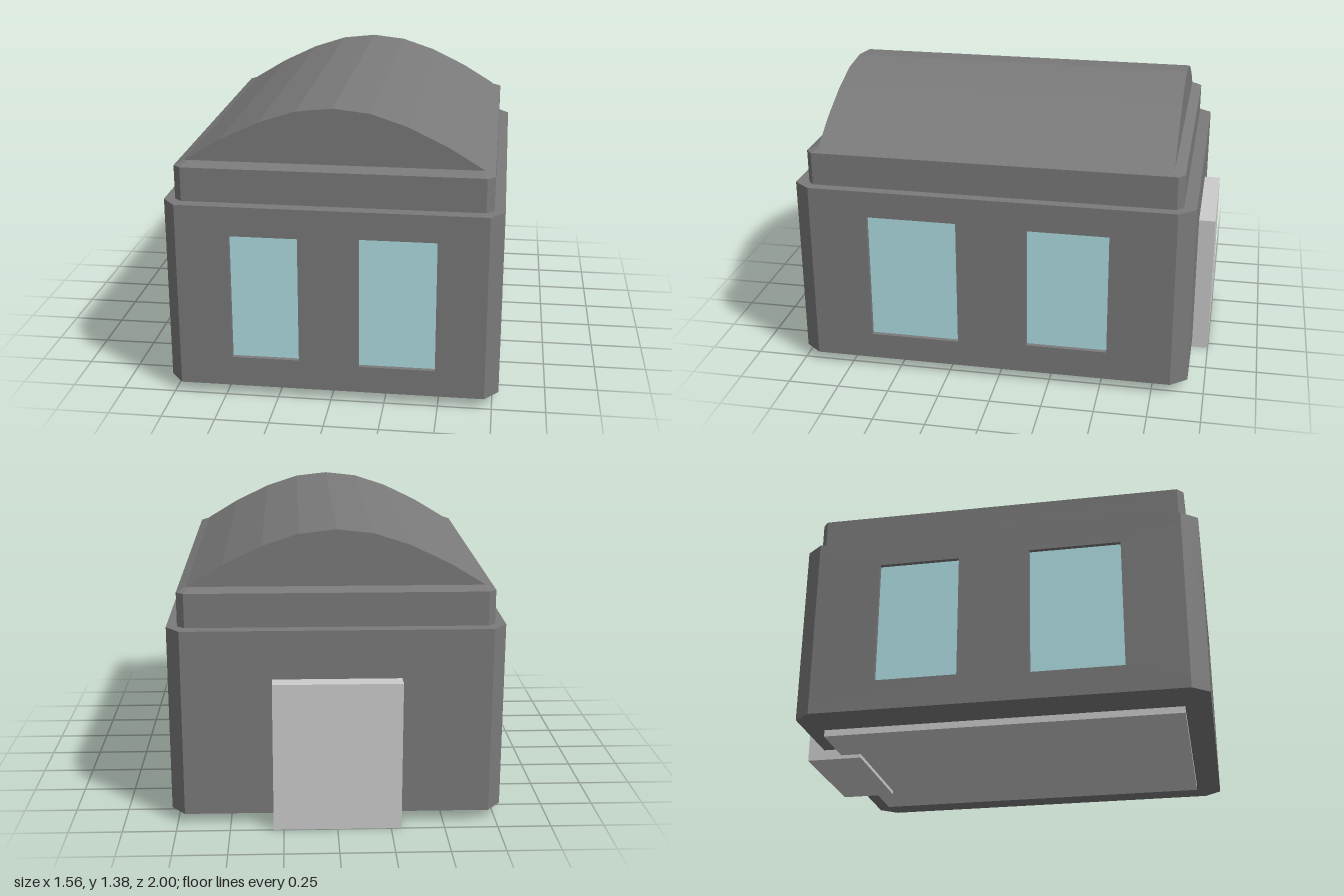
import * as THREE from 'three';

const paint = (color) => new THREE.MeshStandardMaterial({ color, flatShading: true });
const stone = paint(0x7a7a7a);
const plain = paint(0xcccccc);
const glass = paint(0xb0e0e6);

const MID_Z = 0.04; // the walls sit slightly forward of the centre

function add(parent, name, geometry, material) {
  const mesh = new THREE.Mesh(geometry, material);
  mesh.name = name;
  parent.add(mesh);
  return mesh;
}

// Box from its minimum and maximum corners
function addBox(parent, name, [x0, y0, z0], [x1, y1, z1], material) {
  const mesh = add(parent, name, new THREE.BoxGeometry(x1 - x0, y1 - y0, z1 - z0), material);
  mesh.position.set((x0 + x1) / 2, (y0 + y1) / 2, (z0 + z1) / 2);
  return mesh;
}

// Rectangle with cut corners, as [x, z] points, starting at the front face
function cutRect(w, d, cx, cz) {
  return [
    [-w + cx, d], [w - cx, d], [w, d - cz], [w, -d + cz],
    [w - cx, -d], [-w + cx, -d], [-w, -d + cz], [-w, d - cz],
  ].map(([x, z]) => [x, z + MID_Z]);
}

// Closed solid through stacked rings { y, pts }
function loft(rings) {
  const n = rings[0].pts.length;
  const pos = rings.flatMap(({ y, pts }) => pts.flatMap(([x, z]) => [x, y, z]));
  const idx = [];
  for (let r = 0; r < rings.length - 1; r++) {
    for (let i = 0; i < n; i++) {
      const a = r * n + i, b = r * n + (i + 1) % n;
      idx.push(a, b, b + n, a, b + n, a + n);
    }
  }
  const top = (rings.length - 1) * n;
  for (let i = 1; i < n - 1; i++) {
    idx.push(0, i + 1, i, top, top + i, top + i + 1);
  }
  const g = new THREE.BufferGeometry();
  g.setAttribute('position', new THREE.Float32BufferAttribute(pos, 3));
  g.setIndex(idx);
  const flat = g.toNonIndexed();
  flat.computeVertexNormals();
  return flat;
}

// Wall panel between two plan points, with recessed windows [u0, u1, y0, y1],
// u measured along the wall from its middle, rightwards as seen from outside
function addWall(parent, name, [ax, az], [bx, bz], y0, y1, windows) {
  const wall = new THREE.Group();
  wall.name = name;
  const half = Math.hypot(bx - ax, bz - az) / 2;
  const thick = 0.05, inset = 0.022;
  const rect = (Path, u0, u1, v0, v1) => new Path([
    new THREE.Vector2(u0, v0), new THREE.Vector2(u1, v0),
    new THREE.Vector2(u1, v1), new THREE.Vector2(u0, v1),
  ]);
  const shape = rect(THREE.Shape, -half, half, y0, y1);
  for (const [u0, u1, v0, v1] of windows) {
    shape.holes.push(rect(THREE.Path, u0, u1, v0, v1));
    addBox(wall, 'windowPane', [u0, v0, -thick], [u1, v1, -inset], glass);
  }
  const geo = new THREE.ExtrudeGeometry(shape, { depth: thick, bevelEnabled: false });
  geo.translate(0, 0, -thick);
  add(wall, 'wallPanel', geo, stone);
  wall.position.set((ax + bx) / 2, 0, (az + bz) / 2);
  wall.rotation.y = Math.atan2(-(bz - az), bx - ax);
  parent.add(wall);
}

export function createModel() {
  const model = new THREE.Group();
  model.name = 'building';

  // Floor and ceiling slabs with the walls between them
  const plan = cutRect(0.78, 0.96, 0.065, 0.08);
  const slab = (y0, y1) => loft([{ y: y0, pts: plan }, { y: y1, pts: plan }]);
  add(model, 'floorSlab', slab(0.05, 0.1), stone);
  add(model, 'ceilingSlab', slab(0.89, 0.94), stone);

  const large = [0.18, 0.81], small = [0.195, 0.8];
  const windows = {
    0: [[-0.465, -0.15, ...small], [0.13, 0.485, ...large]],
    2: [[MID_Z - 0.635, MID_Z - 0.2, ...large], [MID_Z + 0.14, MID_Z + 0.53, ...small]],
    6: [[-0.53 - MID_Z, -0.14 - MID_Z, ...small], [0.2 - MID_Z, 0.635 - MID_Z, ...large]],
  };
  const names = ['frontWall', 'corner', 'leftWall', 'corner', 'backWall', 'corner', 'rightWall', 'corner'];
  names.forEach((name, i) => {
    addWall(model, name, plan[i], plan[(i + 1) % 8], 0.1, 0.89, windows[i] ?? []);
  });

  // Stepped-in upper tier with a sloped top edge
  const tier = cutRect(0.73, 0.9, 0.035, 0.03);
  add(model, 'upperTier', loft([
    { y: 0.94, pts: tier },
    { y: 1.1, pts: tier },
    { y: 1.12, pts: cutRect(0.685, 0.85, 0.015, 0.015) },
  ]), stone);

  // Barrel roof
  const arc = [[0.685, 1.12], [0.52, 1.22], [0.34, 1.307], [0.17, 1.363], [0, 1.382]];
  const outline = [...arc, ...arc.slice(0, -1).reverse().map(([x, y]) => [-x, y])];
  const gable = new THREE.Shape(outline.map(([x, y]) => new THREE.Vector2(x, y)));
  const roof = new THREE.ExtrudeGeometry(gable, { depth: 1.695, bevelEnabled: false });
  add(model, 'barrelRoof', roof, stone).position.z = -0.81;

  // Base plate and the block at the back
  addBox(model, 'basePlate', [-0.565, 0.018, -0.83], [0.565, 0.06, 0.88], plain);
  addBox(model, 'backDoor', [-0.298, 0, -1], [0.298, 0.71, -0.73], plain);

  return model;
}
